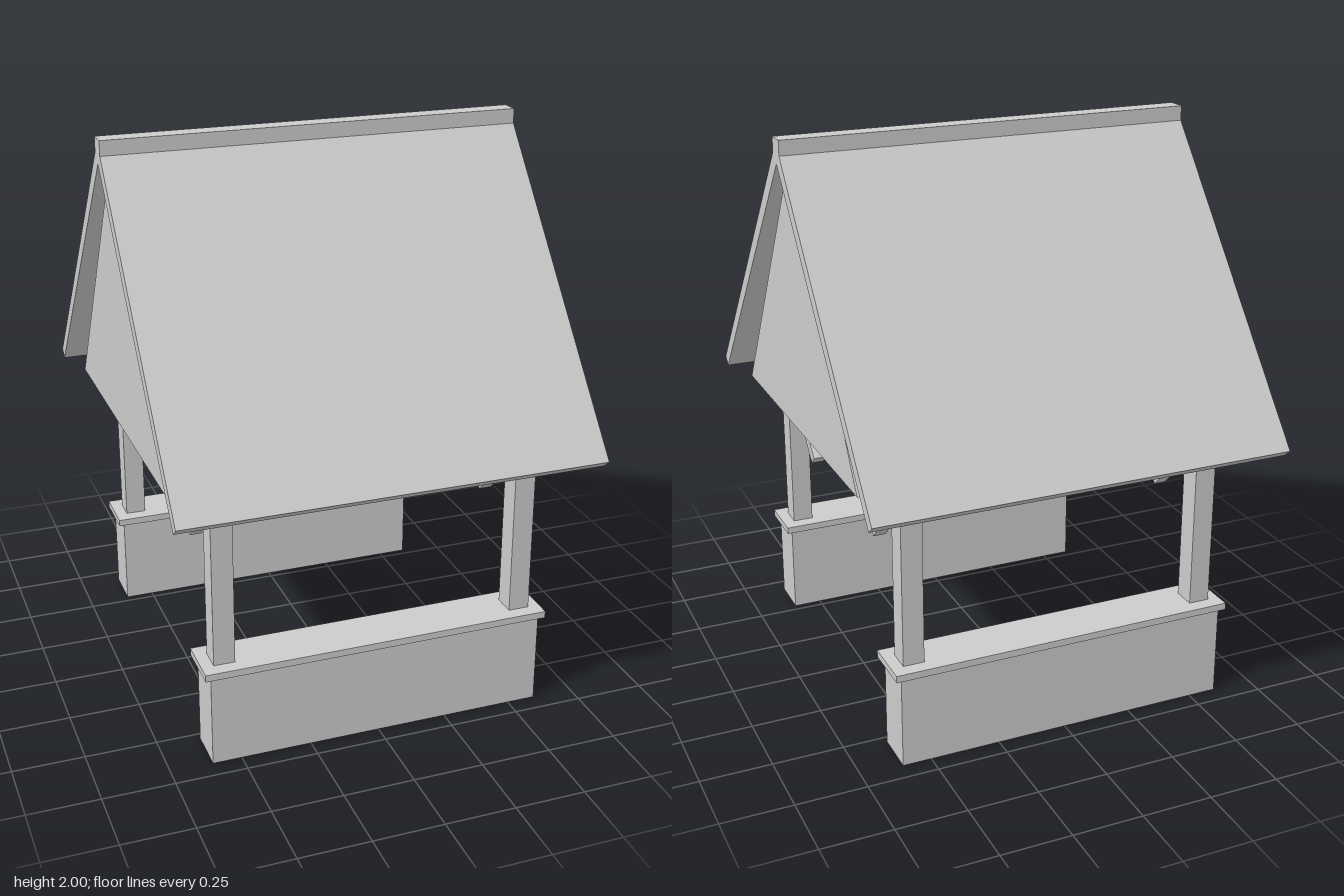
import * as THREE from 'three';

const grey = new THREE.MeshStandardMaterial({ color: 0xcccccc });
grey.name = 'light grey';

// Box given by its centre x and z, and its bottom and top heights
function box(name, width, depth, bottom, top, x, z) {
  const mesh = new THREE.Mesh(new THREE.BoxGeometry(width, top - bottom, depth), grey);
  mesh.position.set(x, (bottom + top) / 2, z);
  mesh.name = name;
  return mesh;
}

// Profile of [z, y] points extruded along x and centred on the given x
function prism(name, points, length, x) {
  const shape = new THREE.Shape(points.map(([z, y]) => new THREE.Vector2(-z, y)));
  const geometry = new THREE.ExtrudeGeometry(shape, { depth: length, bevelEnabled: false });
  geometry.translate(0, 0, -length / 2).rotateY(Math.PI / 2);
  const mesh = new THREE.Mesh(geometry, grey);
  mesh.position.x = x;
  mesh.name = name;
  return mesh;
}

export function createModel() {
  const model = new THREE.Group();
  model.name = 'lychgate';

  for (const front of [1, -1]) {
    // Low wall, its cap and the plate carried by the posts
    model.add(box('lowWall', 1.204, 0.156, 0, 0.33, 0, front * 0.606));
    model.add(box('wallCap', 1.246, 0.185, 0.33, 0.355, 0, front * 0.605));
    model.add(box('wallPlate', 1.29, 0.09, 0.912, 0.968, 0, front * 0.605));

    // Sloping roof slab
    const slope = [[0.846, 0.977], [0.035, 1.948], [0, 1.948], [0, 1.915], [0.815, 0.95]];
    model.add(prism('roofSlab', slope.map(([z, y]) => [front * z, y]), 1.49, 0));

    for (const side of [1, -1]) {
      model.add(box('post', 0.075, 0.082, 0.355, 0.912, side * 0.543, front * 0.606));

      // Diagonal brace in the plane of the posts
      const brace = box('brace', 0.045, 0.042, -0.165, 0.165, side * 0.543, front * 0.442);
      brace.position.y = 0.822;
      brace.rotation.x = front * Math.PI / 4;
      model.add(brace);
    }
  }

  for (const side of [1, -1]) {
    model.add(box('crossBeam', 0.075, 1.13, 0.912, 0.972, side * 0.543, 0));
    // Triangular gable panel
    model.add(prism('gable', [[-0.605, 0.972], [0, 1.913], [0.605, 0.972]], 0.015, side * 0.7));
  }

  model.add(box('ridgeBeam', 1.49, 0.07, 1.945, 2, 0, 0));
  return model;
}
